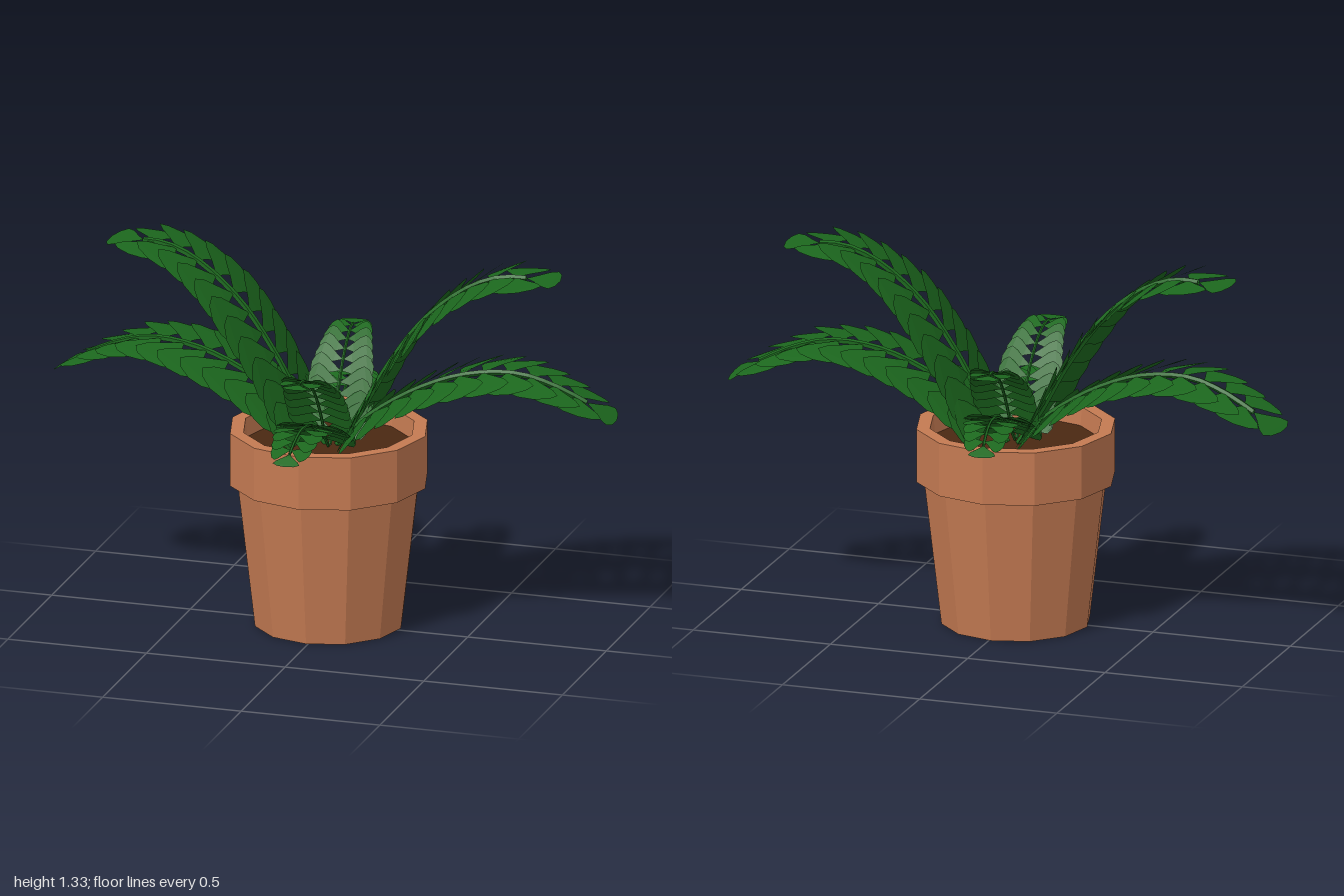
import * as THREE from 'three';
import { mergeGeometries } from 'three/addons/utils/BufferGeometryUtils.js';

const material = (color) =>
  new THREE.MeshStandardMaterial({ color, flatShading: true, side: THREE.DoubleSide });
const clay = material(0xc47a52);
const earth = material(0x4a2812);
const green = material(0x1c681e);

const UP = new THREE.Vector3(0, 1, 0);
const BASE_Y = 0.65;

function addMesh(parent, name, geometry, mat) {
  const mesh = new THREE.Mesh(geometry, mat);
  mesh.name = name;
  parent.add(mesh);
  return mesh;
}

// Fan-shaped leaflet: narrow at the stalk, broad and rounded outside, slightly drooping
function leaflet(origin, dir, normal, length, width) {
  const half = [[0.3, 0.2], [0.58, 0.42], [0.8, 0.5], [0.94, 0.32]];
  const outline = [[0, 0], ...half, [1, 0], ...half.map(([x, y]) => [x, -y]).reverse()];
  const shape = new THREE.Shape(outline.map(([x, y]) => new THREE.Vector2(x * length, y * width)));
  const geo = new THREE.ShapeGeometry(shape);
  const pos = geo.attributes.position;
  for (let i = 0; i < pos.count; i++) pos.setZ(i, -0.4 * pos.getX(i) ** 2);
  const x = dir.clone().normalize();
  const y = normal.clone().cross(x).normalize();
  const z = x.clone().cross(y);
  return geo.applyMatrix4(new THREE.Matrix4().makeBasis(x, y, z).setPosition(origin));
}

// Arching frond along +x: a thin stalk, leaflet pairs and one end leaflet
function frond(name, profile, drift) {
  const group = new THREE.Group();
  group.name = name;
  const curve = new THREE.CatmullRomCurve3(
    profile.map(([r, y]) => new THREE.Vector3(r, y - BASE_Y, drift * r * r)));
  addMesh(group, 'stalk', new THREE.TubeGeometry(curve, 18, 0.011, 5), green);

  const leaves = [];
  const pairs = 11;
  for (let i = 0; i <= pairs; i++) {
    const t = i === pairs ? 1 : 0.1 + 0.86 * (i / (pairs - 1));
    const p = curve.getPointAt(t);
    const T = curve.getTangentAt(t);
    const S = UP.clone().cross(T).normalize();
    const N = T.clone().cross(S);
    if (i === pairs) {
      leaves.push(leaflet(p, T, N, 0.12, 0.19));
      continue;
    }
    // each pair tips its forward edge up so the leaflets overlap like scales
    const tilted = N.clone().addScaledVector(T, -0.16);
    const length = 0.235 - 0.1 * Math.max(0, (t - 0.5) / 0.5);
    for (const side of [-1, 1]) {
      const dir = S.clone().multiplyScalar(side).addScaledVector(T, 0.25);
      leaves.push(leaflet(p, dir, tilted, length, 0.17));
    }
  }
  addMesh(group, 'leaflets', mergeGeometries(leaves), green);
  return group;
}

export function createModel() {
  const model = new THREE.Group();

  // Twelve-sided pot with a thick rim
  const pot = new THREE.Group();
  pot.name = 'pot';
  pot.position.set(-0.007, 0, -0.02);
  const wall = [[0, 0], [0.26, 0], [0.32, 0.515], [0.3475, 0.515],
    [0.3475, 0.705], [0.3, 0.705], [0.29, 0.6]];
  addMesh(pot, 'potWall',
    new THREE.LatheGeometry(wall.map(([r, y]) => new THREE.Vector2(r, y)), 12), clay);
  addMesh(pot, 'soil', new THREE.CylinderGeometry(0.292, 0.288, 0.03, 12), earth).position.y = 0.625;
  model.add(pot);

  // Stalk profiles: [distance from the middle, height]
  const upper = [[0.02, 0.64], [0.1, 0.76], [0.2, 0.94], [0.33, 1.12],
    [0.48, 1.245], [0.6, 1.295], [0.69, 1.298]];
  const lower = [[0.02, 0.64], [0.12, 0.745], [0.3, 0.865], [0.48, 0.935],
    [0.66, 0.95], [0.8, 0.91], [0.9, 0.86]];

  // Large fronds to the sides, half-size ones to the front and back
  const places = [
    { name: 'left', turn: 0, size: 1, drift: -0.08 },
    { name: 'right', turn: Math.PI, size: 1, drift: 0.08 },
    { name: 'front', turn: -Math.PI / 2, size: 0.5, drift: 0 },
    { name: 'back', turn: Math.PI / 2, size: 0.5, drift: -0.1 },
  ];
  for (const { name, turn, size, drift } of places) {
    for (const [level, profile] of [['Upper', upper], ['Lower', lower]]) {
      const f = frond(`${name}${level}Frond`, profile, drift);
      f.position.set(0, BASE_Y, size === 1 ? -0.03 : 0);
      f.rotation.y = turn;
      f.scale.setScalar(size);
      model.add(f);
    }
  }
  return model;
}
